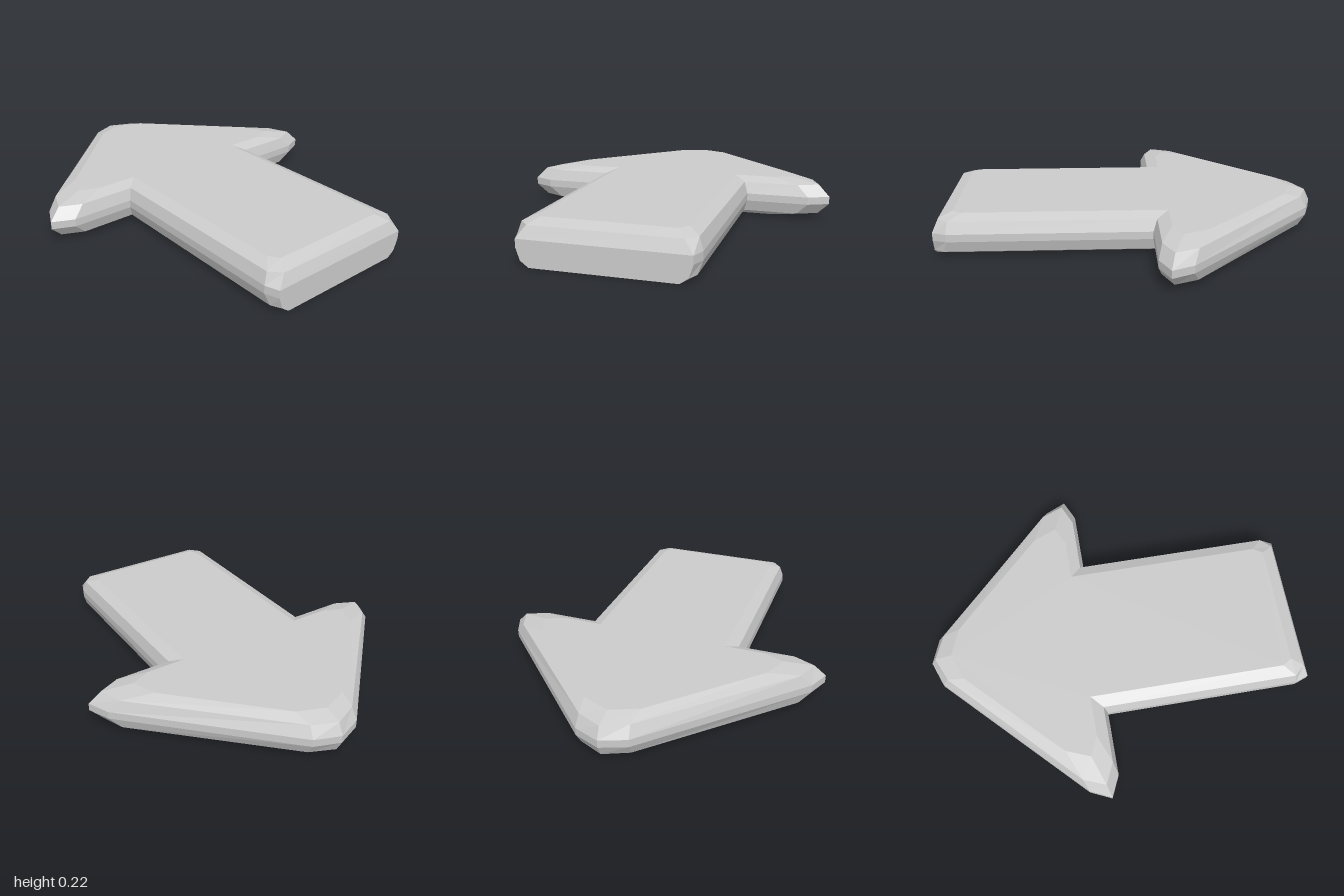
import * as THREE from 'three';

// Right half of the outline as [x, z], from the arrow tip round to the shaft end.
const OUTER = [[0, -1], [0.13, -0.95], [0.82, -0.26], [0.87, -0.15], [0.76, -0.1], [0.43, -0.1], [0.43, 0.93], [0.405, 1]];
const MIDDLE = [[0, -0.97], [0.125, -0.915], [0.765, -0.285], [0.81, -0.17], [0.7, -0.12], [0.41, -0.12], [0.41, 0.92], [0.36, 0.975]];
const INNER = [[0, -0.88], [0.14, -0.825], [0.61, -0.35], [0.66, -0.225], [0.56, -0.18], [0.35, -0.18], [0.35, 0.86], [0.32, 0.91]];

// The underside keeps a straight, unbevelled shaft end.
const squareEnd = (half, x) => [...half.slice(0, 6), [half[5][0], 0.95], [x, 1]];

// Cross-sections from bottom to top: [height, half outline]
const LAYERS = [
  [0, squareEnd(INNER, 0.345)],
  [0.03, squareEnd(MIDDLE, 0.385)],
  [0.09, OUTER],
  [0.13, OUTER],
  [0.19, MIDDLE],
  [0.215, INNER],
];

const mirrored = (half) => [...half, ...half.slice(1).reverse().map(([x, z]) => [-x, z])];

function loftGeometry(layers) {
  const rings = layers.map(([y, half]) => mirrored(half).map(([x, z]) => new THREE.Vector3(x, y, z)));
  const n = rings[0].length;
  const points = rings.flat();
  const index = [];

  // bevelled sides
  for (let r = 0; r < rings.length - 1; r++) {
    for (let i = 0; i < n; i++) {
      const a = r * n + i, b = r * n + (i + 1) % n;
      index.push(a, a + n, b, b, a + n, b + n);
    }
  }

  // flat bottom and top, each triangle turned to face outwards
  for (const [r, up] of [[0, -1], [rings.length - 1, 1]]) {
    const flat = rings[r].map((p) => new THREE.Vector2(p.x, p.z));
    for (const [a, b, c] of THREE.ShapeUtils.triangulateShape(flat, [])) {
      const ab = flat[b].clone().sub(flat[a]);
      const ac = flat[c].clone().sub(flat[a]);
      const facesUp = ab.cross(ac) < 0;
      const tri = facesUp === (up > 0) ? [a, b, c] : [a, c, b];
      index.push(...tri.map((i) => i + r * n));
    }
  }

  const indexed = new THREE.BufferGeometry().setFromPoints(points);
  indexed.setIndex(index);
  const geometry = indexed.toNonIndexed();
  geometry.computeVertexNormals();
  return geometry;
}

export function createModel() {
  const group = new THREE.Group();
  group.name = 'arrow';
  const material = new THREE.MeshStandardMaterial({ color: 0xcccccc, flatShading: true });
  const body = new THREE.Mesh(loftGeometry(LAYERS), material);
  body.name = 'arrowBody';
  group.add(body);
  return group;
}
